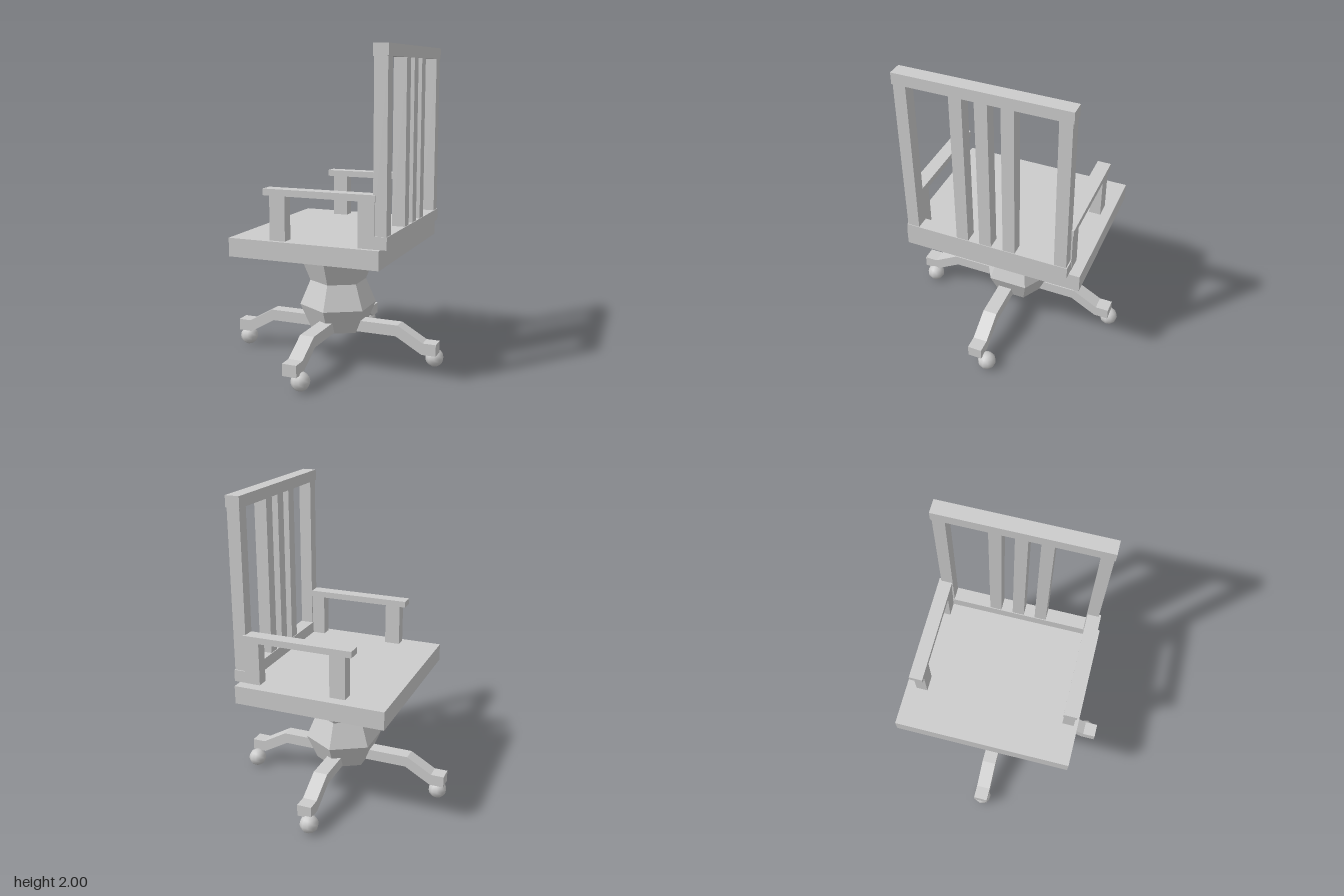
import * as THREE from 'three';

export function createModel() {
  const root = new THREE.Group();
  root.name = 'swivelChair';
  const mat = new THREE.MeshStandardMaterial({ color: 0xcccccc, flatShading: true });
  const smooth = new THREE.MeshStandardMaterial({ color: 0xcccccc });

  // The whole chair is turned slightly on its pedestal axis
  const chair = new THREE.Group();
  chair.name = 'chair';
  chair.rotation.y = THREE.MathUtils.degToRad(5);
  root.add(chair);

  const add = (name, geo, parent = chair, material = mat) => {
    const mesh = new THREE.Mesh(geo, material);
    mesh.name = name;
    parent.add(mesh);
    return mesh;
  };
  // Box given by its limits on each axis
  const box = (name, x0, x1, y0, y1, z0, z1, parent) =>
    add(name, new THREE.BoxGeometry(x1 - x0, y1 - y0, z1 - z0), parent)
      .position.set((x0 + x1) / 2, (y0 + y1) / 2, (z0 + z1) / 2);

  box('seat', -0.48, 0.48, 0.745, 0.86, -0.59, 0.555);

  // Backrest: two rails, two outer posts, three slats
  const back = new THREE.Group();
  back.name = 'backrest';
  chair.add(back);
  box('topRail', 0.427, 0.517, 1.93, 2, -0.522, 0.527, back);
  box('bottomRail', 0.427, 0.517, 0.86, 0.935, -0.522, 0.527, back);
  for (const z of [-0.477, 0.483]) box('backPost', 0.432, 0.513, 0.93, 1.935, z - 0.038, z + 0.038, back);
  for (const z of [-0.153, 0, 0.15]) box('backSlat', 0.432, 0.513, 0.93, 1.935, z - 0.038, z + 0.038, back);

  // Armrests on two short posts each
  for (const [side, z] of [['right', -0.487], ['left', 0.492]]) {
    const arm = new THREE.Group();
    arm.name = side + 'Armrest';
    chair.add(arm);
    box('armRail', -0.255, 0.447, 1.13, 1.17, z - 0.043, z + 0.043, arm);
    box('armFrontPost', -0.215, -0.115, 0.86, 1.13, z - 0.037, z + 0.037, arm);
    box('armRearPost', 0.343, 0.442, 0.86, 1.13, z - 0.037, z + 0.037, arm);
  }

  // Six-sided pedestal with two bulges
  const profile = [[0, 0.195], [0.18, 0.195], [0.25, 0.355], [0.183, 0.515], [0.25, 0.68], [0.222, 0.745], [0, 0.745]]
    .map(([r, y]) => new THREE.Vector2(r, y));
  add('pedestal', new THREE.LatheGeometry(profile, 6)).position.z = -0.015;

  // Four cranked legs, extruded from one side outline
  const outline = new THREE.Shape([[0.1, 0.203], [0.43, 0.203], [0.6, 0.105], [0.692, 0.105],
    [0.692, 0.18], [0.607, 0.18], [0.443, 0.275], [0.1, 0.275]].map(([x, y]) => new THREE.Vector2(x, y)));
  const legGeo = new THREE.ExtrudeGeometry(outline, { depth: 0.092, bevelEnabled: false });
  legGeo.translate(0, 0, -0.046);
  for (let i = 0; i < 4; i++) {
    const leg = add('leg', legGeo);
    leg.position.set(-0.007, 0, 0.018);
    leg.rotation.y = i * Math.PI / 2;
  }

  // Ball casters, swivelled to different sides of their legs
  const ball = new THREE.SphereGeometry(0.059, 10, 8);
  for (const [x, z] of [[0.64, -0.105], [-0.092, -0.658], [-0.645, 0.075], [0.086, 0.633]])
    add('caster', ball, root, smooth).position.set(x, 0.059, z);

  return root;
}
